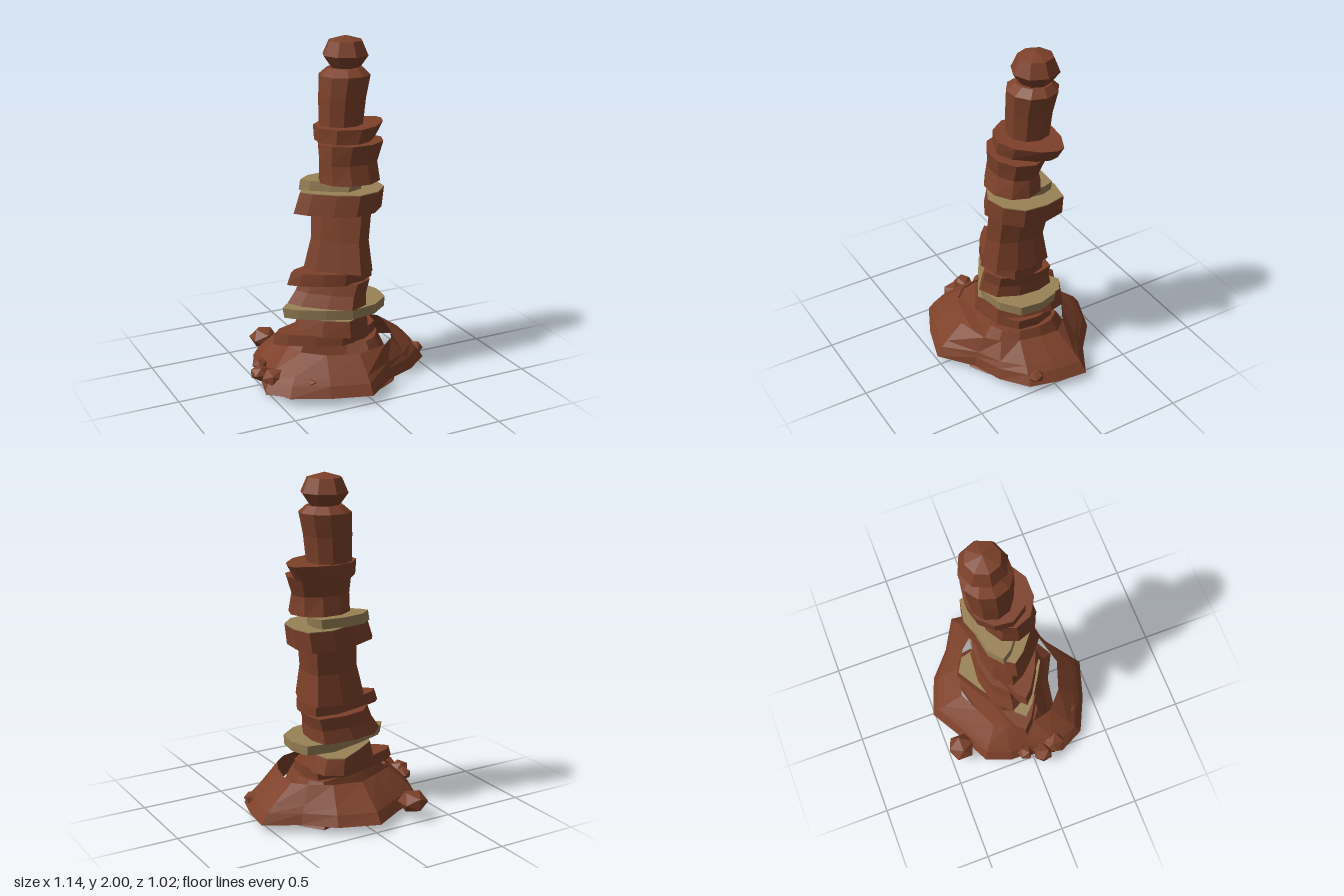
import * as THREE from 'three';

const clay = new THREE.MeshStandardMaterial({ color: 0x7d412a, flatShading: true });
const openClay = new THREE.MeshStandardMaterial({ color: 0x7d412a, flatShading: true, side: THREE.DoubleSide });
const sand = new THREE.MeshStandardMaterial({ color: 0x9a8257, flatShading: true });

// Surface through rings of [x, y, z] points, with optional end caps
function loft(rings, capBottom = true, capTop = true) {
  const n = rings[0].length, pos = [];
  const tri = (a, b, c) => pos.push(...a, ...b, ...c);
  const middle = (r) => [0, 1, 2].map((k) => r.reduce((s, p) => s + p[k], 0) / n);
  const low = rings[0], high = rings[rings.length - 1];
  const lowMid = middle(low), highMid = middle(high);
  for (let i = 0; i < n; i++) {
    const j = (i + 1) % n;
    for (let k = 0; k < rings.length - 1; k++) {
      const a = rings[k], b = rings[k + 1];
      tri(a[i], b[i], a[j]);
      tri(a[j], b[i], b[j]);
    }
    if (capBottom) tri(lowMid, low[i], low[j]);
    if (capTop) tri(highMid, high[j], high[i]);
  }
  const g = new THREE.BufferGeometry();
  g.setAttribute('position', new THREE.Float32BufferAttribute(pos, 3));
  g.computeVertexNormals();
  return g;
}

// Unit outlines, running from +x towards +z
const round = Array.from({ length: 10 }, (_, i) => {
  const a = (i / 10) * Math.PI * 2;
  return [Math.cos(a), Math.sin(a) / 0.951];
});
const cornered = [[1, -0.45], [0.95, 0.15], [0.7, 0.75], [0.2, 1], [-0.3, 0.58], [-0.8, 0.06],
  [-1, -0.35], [-0.6, -0.82], [0.1, -1], [0.88, -0.92]];
const pointLeft = [[1, -0.25], [0.95, 0.4], [0.6, 0.85], [0.1, 1], [-0.35, 0.7], [-0.8, 0.25],
  [-1, -0.08], [-0.85, -0.35], [-0.3, -0.7], [0.35, -1], [0.88, -0.88]];
const pointRight = [[1, -0.3], [0.85, 0.15], [0.4, 0.75], [-0.1, 1], [-0.7, 0.75], [-1, 0.2],
  [-0.95, -0.4], [-0.6, -0.85], [-0.1, -1], [0.45, -0.9], [0.95, -0.6]];
const pointBack = [[1, -0.45], [0.9, 0.2], [0.6, 0.75], [0, 1], [-0.6, 0.7], [-1, 0.15],
  [-0.8, -0.3], [-0.2, -0.65], [0.5, -1], [0.9, -0.8]];
const footShape = [[1, -0.2], [0.93, 0.4], [0.72, 0.82], [0.46, 1], [0.1, 0.76], [-0.35, 0.66],
  [-0.8, 0.55], [-1, 0.35], [-0.88, -0.25], [-0.3, -0.68], [0.35, -0.88], [0.75, -1], [0.95, -0.65]];

// Outline fitted to [y, xMin, xMax, zMin, zMax]
const ring = (outline, [y, x0, x1, z0, z1]) => outline.map(([x, z]) =>
  [(x0 + x1) / 2 + (x * (x1 - x0)) / 2, y, (z0 + z1) / 2 + (z * (z1 - z0)) / 2]);

export function createModel() {
  const group = new THREE.Group();
  const add = (name, geometry, material = clay) => {
    const mesh = new THREE.Mesh(geometry, material);
    mesh.name = name;
    group.add(mesh);
    return mesh;
  };
  const stone = (name, outline, levels, material) =>
    add(name, loft(levels.map((l) => ring(outline, l))), material);

  // Foot, narrowing up into the column
  stone('foot', footShape, [[0, -0.52, 0.35, -0.32, 0.36], [0.06, -0.505, 0.3, -0.3, 0.29],
    [0.15, -0.41, 0.29, -0.26, 0.26], [0.24, -0.33, 0.25, -0.21, 0.2]]);

  // Sloping skirt of earth around the foot
  const outer = [[0.545, 0], [0.5, 0.17], [0.35, 0.29], [0.17, 0.36], [-0.02, 0.51], [-0.25, 0.44],
    [-0.46, 0.34], [-0.54, 0.18], [-0.48, 0], [-0.48, -0.14], [-0.42, -0.3], [-0.2, -0.41],
    [-0.02, -0.515], [0.21, -0.43], [0.37, -0.29], [0.565, -0.18]];
  const inner = [[0.33, 0], [0.3, 0.12], [0.25, 0.22], [0.17, 0.29], [-0.02, 0.34], [-0.2, 0.28],
    [-0.31, 0.18], [-0.34, 0.06], [-0.33, -0.04], [-0.32, -0.12], [-0.28, -0.19], [-0.15, -0.25],
    [-0.02, -0.31], [0.15, -0.27], [0.27, -0.2], [0.34, -0.12]];
  const skirtRing = (y, t) => outer.map(([x, z], i) =>
    [x + (inner[i][0] - x) * t, y, z + (inner[i][1] - z) * t]);
  add('skirt', loft([skirtRing(0.05, 0), skirtRing(0.11, 0.2), skirtRing(0.145, 0.4),
    skirtRing(0.24, 1)], false, false), openClay);

  // Column of stacked stones
  stone('lowestLedge', pointLeft, [[0.235, -0.41, 0.23, -0.19, 0.19], [0.3, -0.39, 0.23, -0.19, 0.185]]);
  stone('lowerStone', pointBack, [[0.295, -0.27, 0.22, -0.3, 0.24], [0.39, -0.24, 0.19, -0.29, 0.22]]);
  stone('lowerStoneTop', pointBack, [[0.388, -0.24, 0.19, -0.29, 0.22], [0.394, -0.24, 0.19, -0.29, 0.22]], sand);
  stone('lowerSandLedge', pointLeft, [[0.395, -0.34, 0.285, -0.17, 0.205], [0.455, -0.35, 0.29, -0.18, 0.21]], sand);
  stone('lowerColumn', cornered, [[0.455, -0.29, 0.18, -0.2, 0.22], [0.53, -0.24, 0.18, -0.18, 0.2],
    [0.605, -0.21, 0.2, -0.18, 0.2]]);
  stone('middleLedge', pointLeft, [[0.6, -0.325, 0.2, -0.13, 0.18], [0.67, -0.3, 0.2, -0.13, 0.18]]);
  stone('middleColumn', cornered, [[0.67, -0.2, 0.2, -0.16, 0.235], [0.85, -0.155, 0.18, -0.13, 0.195],
    [1.015, -0.14, 0.2, -0.16, 0.19]]);
  stone('wideLedge', pointLeft, [[1.01, -0.26, 0.27, -0.22, 0.195], [1.13, -0.22, 0.285, -0.215, 0.19]]);
  stone('wideLedgeTop', pointLeft, [[1.128, -0.22, 0.285, -0.215, 0.19], [1.134, -0.22, 0.285, -0.215, 0.19]], sand);
  stone('upperSandLedge', cornered, [[1.13, -0.2, 0.18, -0.18, 0.1], [1.19, -0.19, 0.19, -0.18, 0.1]], sand);
  stone('upperColumn', round, [[1.19, -0.12, 0.25, -0.12, 0.185], [1.3, -0.12, 0.24, -0.1, 0.155],
    [1.415, -0.12, 0.28, -0.14, 0.17]]);
  stone('upperLedge', pointRight, [[1.415, -0.105, 0.28, -0.2, 0.135], [1.5, -0.11, 0.335, -0.21, 0.14]]);
  stone('topColumn', round, [[1.495, -0.07, 0.19, -0.19, 0.05], [1.65, -0.07, 0.21, -0.2, 0.055],
    [1.78, -0.06, 0.24, -0.22, 0.06], [1.82, -0.01, 0.2, -0.18, 0.01]]);

  // Faceted knob on the tip
  const profile = [[0, 1.79], [0.07, 1.81], [0.09, 1.825], [0.137, 1.89], [0.1, 1.972], [0, 2]];
  const knob = add('knob', new THREE.LatheGeometry(profile.map((p) => new THREE.Vector2(...p)), 8));
  knob.position.set(0.1, 0, -0.09);

  // Loose rocks around the skirt: x, y, z, radius
  [[-0.3, 0.1, -0.42, 0.09], [-0.52, 0.105, 0.055, 0.062], [-0.47, 0.105, 0.145, 0.075],
    [-0.48, 0.11, -0.05, 0.05], [0.475, 0.093, 0.115, 0.05], [-0.315, 0.115, 0.325, 0.04],
  ].forEach(([x, y, z, r], i) => {
    const rock = add('rock' + (i + 1), new THREE.IcosahedronGeometry(r, 0));
    rock.position.set(x, y, z);
    rock.rotation.y = i * 1.3;
    rock.scale.y = 0.75;
  });

  return group;
}
